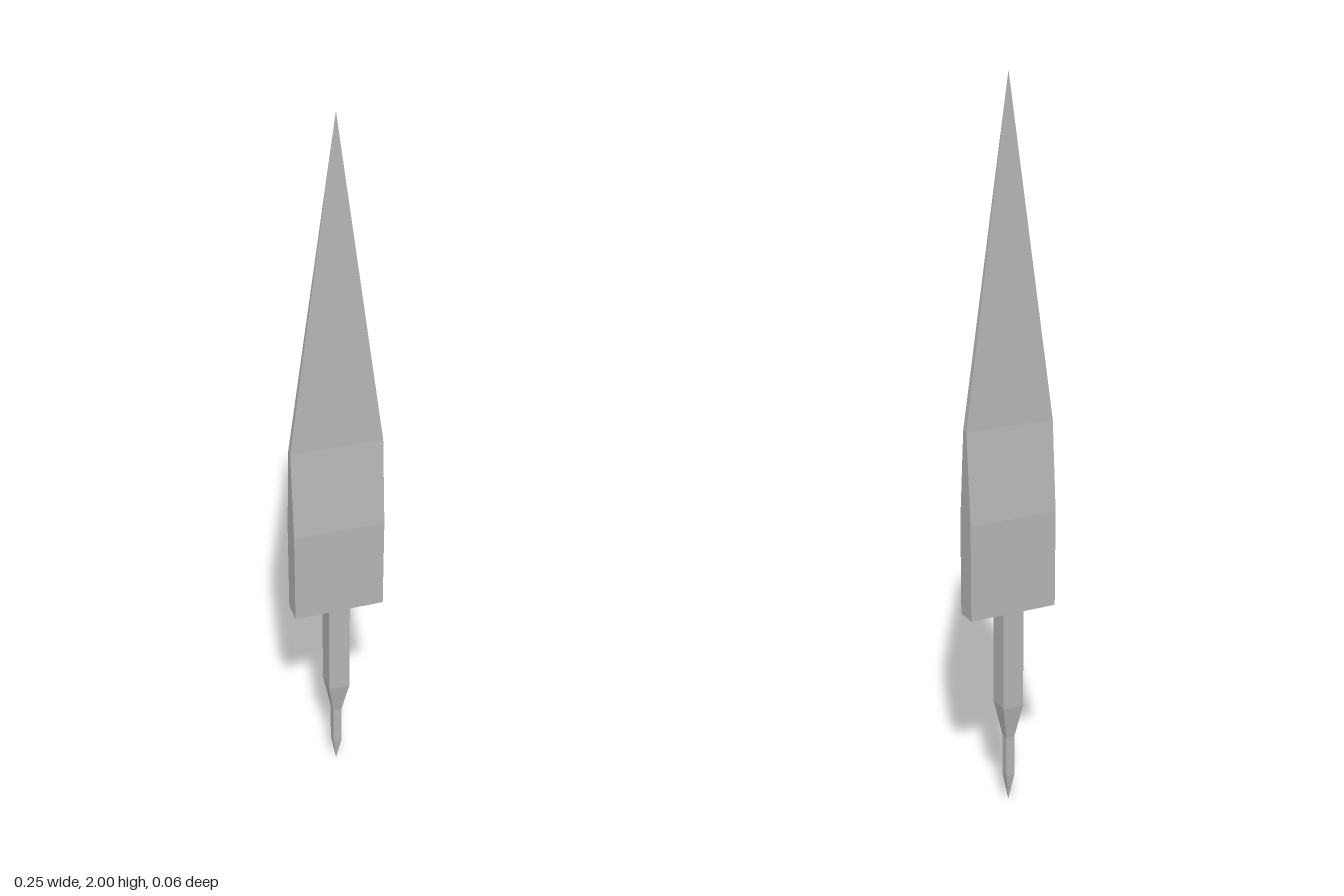
import * as THREE from 'three';

// Lofts rectangular sections [y, halfWidth, halfDepth, zOffset] from bottom to top, flat faced.
function loft(name, sections, material) {
  const rings = sections.map(([y, w, d, z = 0]) => [
    new THREE.Vector3(-w, y, z + d),
    new THREE.Vector3(w, y, z + d),
    new THREE.Vector3(w, y, z - d),
    new THREE.Vector3(-w, y, z - d),
  ]);
  const points = [];
  const triangle = (a, b, c) => {
    // Skip triangles that collapse at a pointed tip
    if (a.equals(b) || b.equals(c) || a.equals(c)) return;
    points.push(a, b, c);
  };
  const quad = (a, b, c, d) => {
    triangle(a, b, c);
    triangle(a, c, d);
  };
  for (let i = 0; i < rings.length - 1; i++) {
    for (let k = 0; k < 4; k++) {
      const n = (k + 1) % 4;
      quad(rings[i][k], rings[i][n], rings[i + 1][n], rings[i + 1][k]);
    }
  }
  // End caps
  const [a, b, c, d] = rings[0];
  quad(d, c, b, a);
  quad(...rings[rings.length - 1]);

  const geometry = new THREE.BufferGeometry().setFromPoints(points);
  geometry.computeVertexNormals();
  const mesh = new THREE.Mesh(geometry, material);
  mesh.name = name;
  return mesh;
}

export function createModel() {
  const group = new THREE.Group();
  group.name = 'spike';
  const steel = new THREE.MeshStandardMaterial({ color: 0xb4b4b4 });
  steel.name = 'steel grey';

  // Broad block that thins into a long pointed blade
  group.add(loft('blade', [
    [0.58, 0.126, 0.031, -0.001],
    [0.85, 0.126, 0.031, -0.001],
    [1.1, 0.126, 0.0095, -0.002],
    [2.0, 0, 0, -0.002],
  ], steel));

  // Square tang, stepped down to a sharp lower point
  group.add(loft('tang', [
    [0, 0, 0, -0.001],
    [0.08, 0.0125, 0.0125, -0.001],
    [0.2, 0.0125, 0.0125, -0.001],
    [0.3, 0.03, 0.031, -0.001],
    [0.58, 0.03, 0.031, -0.001],
  ], steel));

  return group;
}
